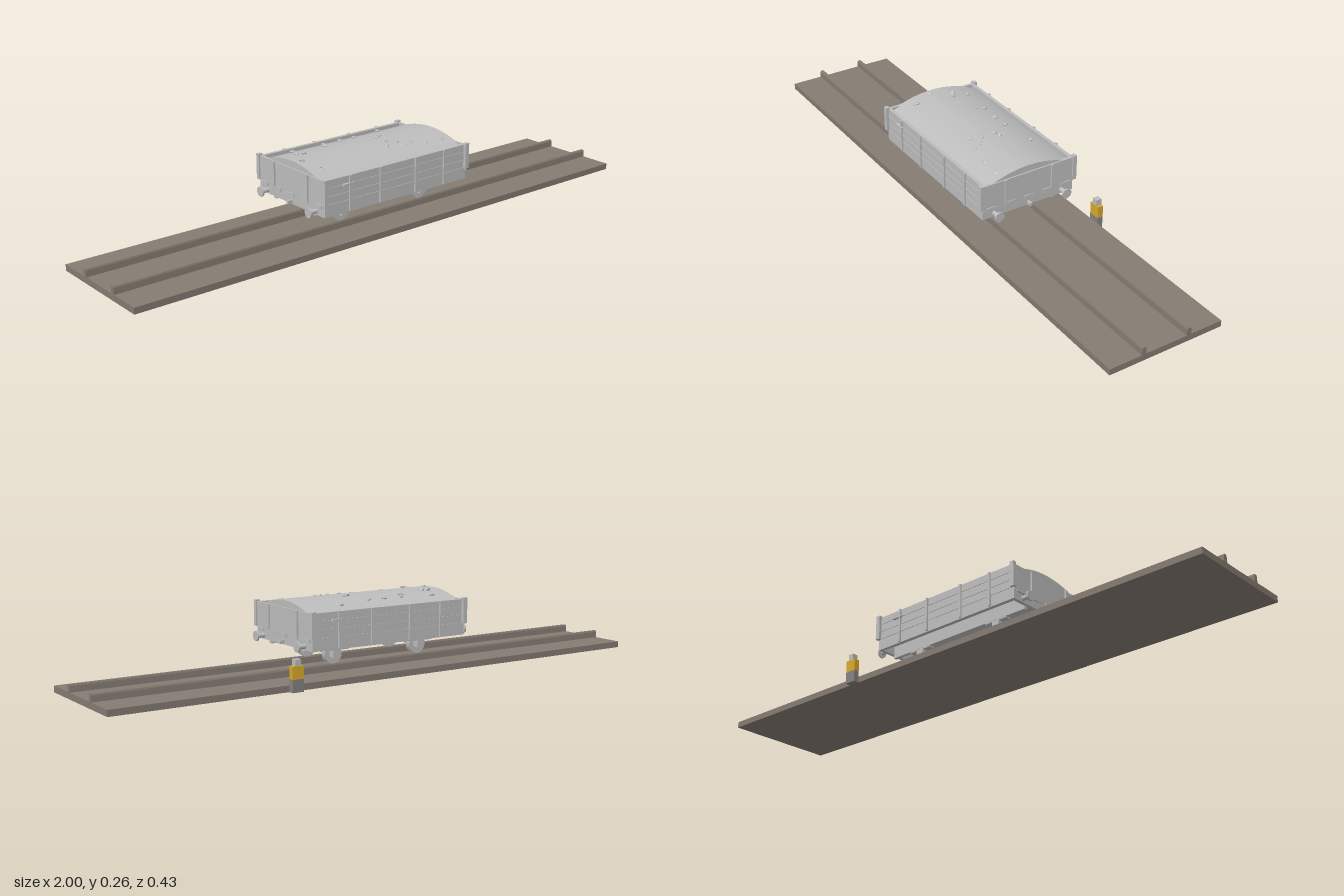
import * as THREE from 'three';

const mat = (name, color) => {
  const m = new THREE.MeshStandardMaterial({ color });
  m.name = name;
  return m;
};

export function createModel() {
  const grey = mat('wagonGrey', 0xbdbdbd);
  const ground = mat('trackBrown', 0x857b72);
  const yellow = mat('postYellow', 0xd8a82c);
  const concrete = mat('postGrey', 0x858280);

  const model = new THREE.Group();
  model.name = 'wagonOnTrack';
  const add = (parent, name, geo, material, x, y, z) => {
    const m = new THREE.Mesh(geo, material);
    m.name = name;
    m.position.set(x, y, z);
    parent.add(m);
    return m;
  };
  // box given by its lower and upper corners
  const box = (parent, name, material, x0, x1, y0, y1, z0, z1) =>
    add(parent, name, new THREE.BoxGeometry(x1 - x0, y1 - y0, z1 - z0), material,
      (x0 + x1) / 2, (y0 + y1) / 2, (z0 + z1) / 2);
  // profile in (z, y), drawn along x
  const extrudeX = (parent, name, material, pts, length) => {
    const shape = new THREE.Shape(pts.map(([z, y]) => new THREE.Vector2(-z, y)));
    const geo = new THREE.ExtrudeGeometry(shape, { depth: length, bevelEnabled: false });
    geo.translate(0, 0, -length / 2).rotateY(Math.PI / 2);
    return add(parent, name, geo, material, 0, 0, 0);
  };
  const cylinder = (r0, r1, h, n, axis) => {
    const g = new THREE.CylinderGeometry(r0, r1, h, n);
    if (axis === 'x') g.rotateZ(-Math.PI / 2);
    if (axis === 'z') g.rotateX(Math.PI / 2);
    return g;
  };

  // Track bed and rails
  box(model, 'trackBed', ground, -1, 1, 0, 0.021, -0.192, 0.213);
  for (const z of [0.093, -0.07]) {
    extrudeX(model, 'rail', ground, [
      [z - 0.008, 0.02], [z + 0.008, 0.02], [z + 0.007, 0.041],
      [z + 0.005, 0.046], [z - 0.005, 0.046], [z - 0.007, 0.041]], 2);
  }

  // Lineside post
  const post = new THREE.Group();
  post.name = 'linesidePost';
  model.add(post);
  box(post, 'postFoot', concrete, 0.363, 0.403, 0, 0.041, -0.212, -0.192);
  box(post, 'postBody', yellow, 0.363, 0.403, 0.041, 0.082, -0.212, -0.192);
  box(post, 'postCap', grey, 0.373, 0.393, 0.082, 0.103, -0.212, -0.192);

  // Wagon, built around its own centre line
  const wagon = new THREE.Group();
  wagon.name = 'wagon';
  wagon.position.z = 0.0105;
  model.add(wagon);

  box(wagon, 'floor', grey, -0.3, 0.3, 0.14, 0.15, -0.165, 0.165);
  for (const s of [-1, 1]) {
    const range = (a, b) => (s > 0 ? [a, b] : [-b, -a]);

    // Side walls with plank battens and stanchions
    box(wagon, 'sideWall', grey, -0.3, 0.3, 0.109, 0.23, ...range(0.16, 0.172));
    for (const y of [0.148, 0.175, 0.203])
      box(wagon, 'plankSeam', grey, -0.298, 0.298, y, y + 0.002, ...range(0.171, 0.174));
    for (const x of [-0.2, -0.075, 0.075, 0.2])
      box(wagon, 'sideStanchion', grey, x - 0.004, x + 0.004, 0.112, 0.231, ...range(0.17, 0.178));
    box(wagon, 'doorLatch', grey, -0.21 * s - 0.02, -0.21 * s + 0.02, 0.2, 0.207, ...range(0.172, 0.181));

    // Solebar
    box(wagon, 'solebar', grey, -0.29, 0.29, 0.097, 0.142, ...range(0.098, 0.11));

    // End wall, headstock and its fittings
    box(wagon, 'endWall', grey, ...range(0.292, 0.302), 0.14, 0.23, -0.168, 0.168);
    box(wagon, 'headstock', grey, ...range(0.288, 0.3), 0.109, 0.145, -0.172, 0.172);
    for (const z of [-0.088, 0.088])
      box(wagon, 'endStanchion', grey, ...range(0.3, 0.308), 0.145, 0.231, z - 0.004, z + 0.004);
    for (let i = -2; i <= 2; i++)
      box(wagon, 'endBracket', grey, ...range(0.3, 0.305), 0.136, 0.148, i * 0.071 - 0.018, i * 0.071 + 0.018);
    box(wagon, 'couplingHook', grey, ...range(0.3, 0.318), 0.112, 0.124, -0.004, 0.005);

    for (const t of [-1, 1]) {
      const zr = t > 0 ? [0.168, 0.182] : [-0.182, -0.168];
      box(wagon, 'cornerPost', grey, ...range(0.291, 0.307), 0.148, 0.235, ...zr);

      // Buffers
      add(wagon, 'bufferStem', cylinder(0.008, 0.008, 0.034, 12, 'x'), grey, s * 0.312, 0.122, t * 0.1285);
      add(wagon, 'bufferHead', cylinder(0.017, 0.017, 0.006, 20, 'x'), grey, s * 0.33, 0.122, t * 0.1285);

      // Wheels with axleboxes
      add(wagon, 'wheelTread', cylinder(0.033, 0.033, 0.012, 24, 'z'), grey, s * 0.168, 0.079, t * 0.0815);
      add(wagon, 'wheelFlange', cylinder(0.035, 0.035, 0.003, 24, 'z'), grey, s * 0.168, 0.079, t * 0.074);
      const a = t > 0 ? [0.088, 0.109] : [-0.109, -0.088];
      const x = s * 0.168;
      box(wagon, 'axlebox', grey, x - 0.014, x + 0.014, 0.07, 0.093, ...a);
      box(wagon, 'leafSpring', grey, x - 0.045, x + 0.045, 0.093, 0.099, ...a);
    }
    add(wagon, 'axle', cylinder(0.006, 0.006, 0.16, 12, 'z'), grey, s * 0.168, 0.079, 0);
  }

  // Heaped load
  const heap = z => 0.253 - 0.023 * (z / 0.128) ** 2;
  const profile = [[-0.162, 0.15], [0.162, 0.15]];
  for (let i = 8; i >= -8; i--) profile.push([i * 0.02025, heap(i * 0.02025)]);
  extrudeX(wagon, 'load', grey, profile, 0.594);

  // Loose lumps lying on the load
  let seed = 7;
  const rand = () => (seed = (seed * 16807) % 2147483647) / 2147483647;
  const spots = [[-0.22, -0.09], [-0.1, -0.08], [-0.24, -0.04], [-0.22, -0.03], [-0.27, 0.03],
    [-0.25, 0.09], [-0.25, 0.11], [0.03, -0.08], [0.07, -0.01], [0.09, -0.02], [0.15, -0.1],
    [0.14, 0.08], [0.11, 0.09], [0.19, 0.1], [0.26, 0.11], [0.07, 0.04], [-0.03, -0.08],
    [0.1, 0.06], [0.05, 0.07], [-0.11, -0.06]];
  for (const [x, z] of spots) {
    const lump = add(wagon, 'lump', new THREE.DodecahedronGeometry(0.009), grey, x, heap(z) + 0.001, z - 0.01);
    lump.scale.set(0.7 + rand() * 0.7, 0.55, 0.6 + rand() * 0.6);
    lump.rotation.set(rand() * 0.5, rand() * 6, rand() * 0.5);
  }
  return model;
}
